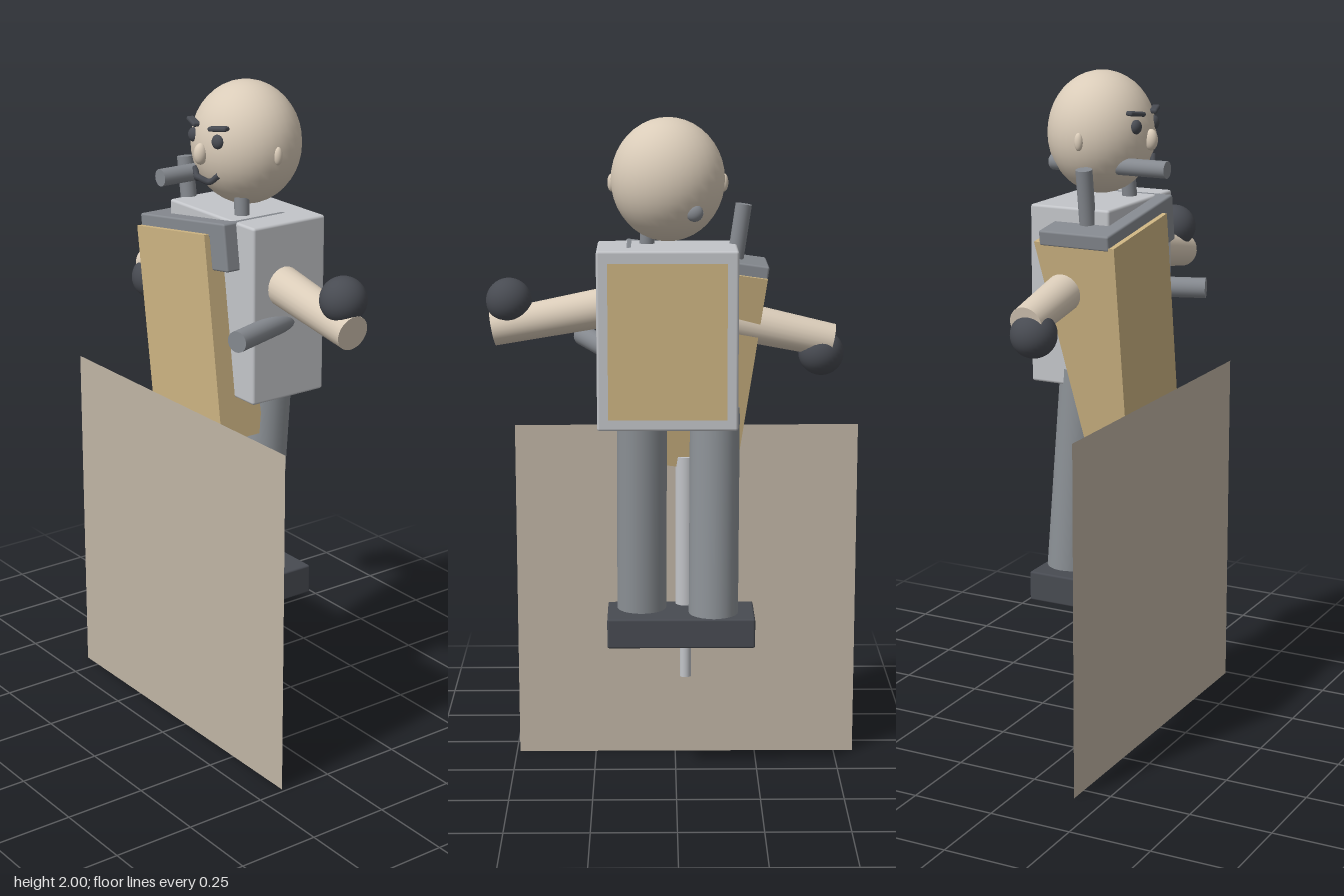
import * as THREE from 'three';
import { RoundedBoxGeometry } from 'three/addons/geometries/RoundedBoxGeometry.js';

const colour = (name, hex) => {
  const m = new THREE.MeshStandardMaterial({ color: hex });
  m.name = name;
  return m;
};

export function createModel() {
  const root = new THREE.Group();
  root.name = 'piper';
  const skin = colour('skin', 0xdaccb9);
  const leather = colour('leather', 0xcdb482);
  const shirt = colour('light grey', 0xc3c5c9);
  const pipe = colour('pipe grey', 0x85898f);
  const trouser = colour('trouser grey', 0x8d9297);
  const dark = colour('charcoal', 0x484b52);
  const board = colour('board tan', 0xc0b5a5);
  board.side = THREE.DoubleSide;

  const add = (name, geometry, material, pos = [0, 0, 0], parent = root) => {
    const mesh = new THREE.Mesh(geometry, material);
    mesh.name = name;
    mesh.position.set(...pos);
    parent.add(mesh);
    return mesh;
  };
  const ball = (name, material, pos, rx, ry = rx, rz = rx) => {
    const mesh = add(name, new THREE.SphereGeometry(1, 32, 20), material, pos);
    mesh.scale.set(rx, ry, rz);
    return mesh;
  };
  // Cylinder running from point a (radius ra) to point b (radius rb)
  const rod = (name, material, a, b, ra, rb = ra) => {
    const from = new THREE.Vector3(...a), to = new THREE.Vector3(...b);
    const dir = to.clone().sub(from);
    const mesh = add(name, new THREE.CylinderGeometry(rb, ra, dir.length(), 24), material);
    mesh.position.copy(from).add(to).multiplyScalar(0.5);
    mesh.quaternion.setFromUnitVectors(new THREE.Vector3(0, 1, 0), dir.normalize());
    return mesh;
  };

  // Front board
  add('frontBoard', new THREE.PlaneGeometry(1.05, 1.055), board, [-0.035, 0.5275, 0.163]);

  // Torso and back panel
  add('torso', new RoundedBoxGeometry(0.41, 0.525, 0.255, 2, 0.008), shirt, [0.025, 1.3675, -0.048]);
  add('backPanel', new THREE.BoxGeometry(0.345, 0.455, 0.006), leather, [0.025, 1.366, -0.176]);

  // Head, ears and face
  ball('head', skin, [0.023, 1.822, -0.048], 0.165, 0.178, 0.157);
  for (const s of [-1, 1]) {
    ball('ear', skin, [0.023 + s * 0.163, 1.812, -0.038], 0.012, 0.026, 0.013);
    ball('eye', dark, [0.021 + s * 0.057, 1.85, 0.092], 0.021, 0.021, 0.016);
    const brow = add('eyebrow', new RoundedBoxGeometry(0.064, 0.014, 0.024, 2, 0.006), dark,
      [0.022 + s * 0.06, 1.888, 0.093]);
    brow.rotation.set(0, s * 0.3, s * 0.12);
  }
  ball('nose', skin, [0.022, 1.808, 0.112], 0.019, 0.031, 0.02);
  const lip = new THREE.CatmullRomCurve3([
    [-0.058, 1.755, 0.09], [-0.03, 1.732, 0.103], [0, 1.742, 0.12],
    [0.03, 1.732, 0.103], [0.058, 1.755, 0.09],
  ].map(([x, y, z]) => new THREE.Vector3(x + 0.022, y, z)));
  add('moustache', new THREE.TubeGeometry(lip, 32, 0.009, 8), dark);

  // Blowpipe passing through the head
  rod('blowpipe', pipe, [-0.052, 1.737, -0.165], [-0.052, 1.737, 0.2], 0.025);
  ball('blowpipeEnd', pipe, [-0.052, 1.737, -0.163], 0.025, 0.025, 0.018);

  // Tilted bag, deeper at the top than at the bottom
  const bag = new THREE.Group();
  bag.name = 'bag';
  bag.position.set(-0.0525, 1.261, 0);
  bag.rotation.z = THREE.MathUtils.degToRad(8);
  root.add(bag);
  const sack = new THREE.BoxGeometry(0.343, 0.611, 0.255);
  sack.translate(0, 0, 0.011);
  const p = sack.attributes.position;
  for (let i = 0; i < p.count; i++) {
    if (p.getY(i) < 0 && p.getZ(i) < 0) p.setZ(i, 0.003);
  }
  sack.computeVertexNormals();
  add('bagBody', sack, leather, [0, 0, 0], bag);
  add('bagCap', new RoundedBoxGeometry(0.42, 0.045, 0.222, 2, 0.006), pipe, [0.037, 0.3175, 0.012], bag);
  add('bagClasp', new RoundedBoxGeometry(0.077, 0.138, 0.222, 2, 0.006), pipe, [0.2095, 0.27, 0.012], bag);

  // Pipes
  rod('dronePipe', pipe, [-0.172, 1.56, 0.01], [-0.199, 1.745, 0.01], 0.024);
  rod('neckPipe', pipe, [0.09, 1.55, 0.015], [0.08, 1.68, 0.01], 0.022);
  rod('chanter', pipe, [0.17, 1.33, -0.15], [0.278, 1.33, 0.173], 0.031);

  // Arms and hands
  rod('leftArm', skin, [0.14, 1.46, -0.03], [0.537, 1.385, -0.03], 0.06, 0.051);
  ball('leftHand', dark, [0.488, 1.468, -0.035], 0.067);
  rod('rightArm', skin, [-0.1, 1.425, -0.035], [-0.46, 1.348, -0.035], 0.06, 0.05);
  ball('rightHand', dark, [-0.428, 1.312, -0.028], 0.067);

  // Legs and foot block
  rod('leftLeg', trouser, [0.103, 0.5, -0.022], [0.1, 1.15, -0.07], 0.074);
  rod('rightLeg', trouser, [-0.112, 0.5, -0.083], [-0.116, 1.15, -0.03], 0.074);
  add('feet', new RoundedBoxGeometry(0.44, 0.09, 0.193, 2, 0.006), dark, [-0.015, 0.486, -0.062]);

  // Stand rod below the bag
  rod('standTube', shirt, [-0.03, 0.413, 0.017], [-0.03, 0.99, 0.017], 0.031);
  rod('standTip', shirt, [-0.03, 0.3, 0.012], [-0.03, 0.45, 0.012], 0.017);

  return root;
}
